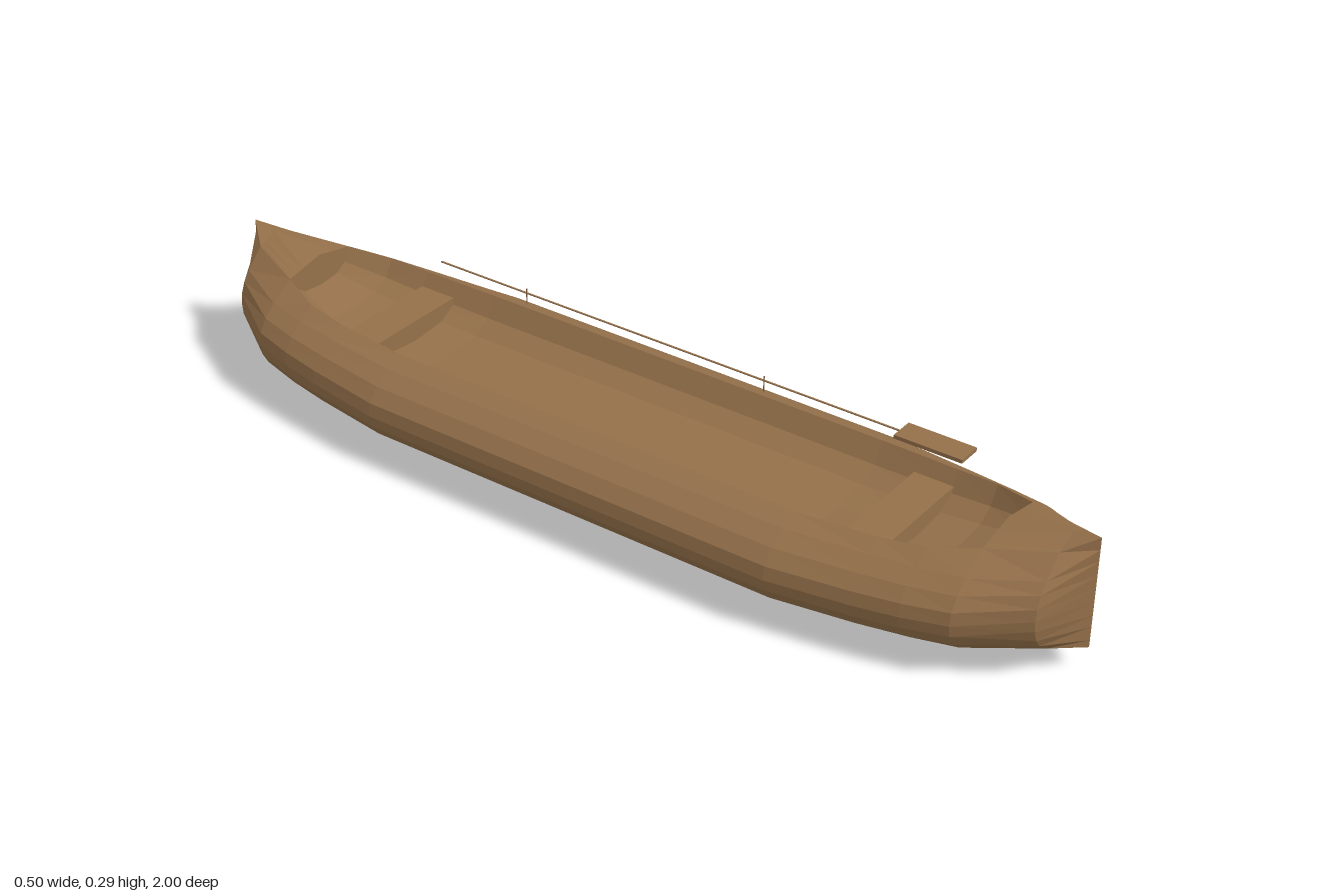
import * as THREE from 'three';

// z, outer half-width, keel and shoulder heights, opening half-width, rim height, inner floor and deck ridge heights
const HALF = [
  { z: 0.47, w: 0.251, keel: 0.001, top: 0.213, o: 0.149, rim: 0.213, floor: 0.142 },
  { z: 0.64, w: 0.228, keel: 0.007, top: 0.217, o: 0.137, rim: 0.22, floor: 0.152 },
  { z: 0.73, w: 0.213, keel: 0.013, top: 0.22, o: 0.125, rim: 0.229, floor: 0.165 },
  { z: 0.82, w: 0.191, keel: 0.021, top: 0.224, o: 0.09, rim: 0.244, floor: 0.192, ridge: 0.262 },
  { z: 0.945, w: 0.113, keel: 0.047, top: 0.236, o: 0.045, rim: 0.262, ridge: 0.28 },
  { z: 1, w: 0, keel: 0.055, top: 0.28, o: 0, rim: 0.29, ridge: 0.29 },
];
const STATIONS = [...HALF.map(s => ({ ...s, z: -s.z })).reverse(), ...HALF];

// Half hull section from keel to shoulder: width fraction, height fraction
const SECTION = [[0, 0], [0.48, 0.07], [0.76, 0.2], [0.9, 0.31], [0.98, 0.44],
  [1, 0.56], [0.98, 0.69], [0.89, 0.82], [0.75, 0.93]];

const mirrored = half => [...half.slice(1).reverse().map(([x, y]) => [-x, y]), ...half];

// Skin a row of cross-sections with flat facets, diagonals mirrored left to right and end to end
function loft(rings) {
  const pos = [];
  for (let i = 0; i < rings.length - 1; i++) {
    const n = rings[i].length - 1;
    for (let j = 0; j < n; j++) {
      const a = rings[i][j], b = rings[i][j + 1], c = rings[i + 1][j], d = rings[i + 1][j + 1];
      const rear = rings[i][0][2] < 0;
      if ((j < n / 2) === rear) pos.push(...a, ...b, ...c, ...b, ...d, ...c);
      else pos.push(...a, ...b, ...d, ...a, ...d, ...c);
    }
  }
  const g = new THREE.BufferGeometry();
  g.setAttribute('position', new THREE.Float32BufferAttribute(pos, 3));
  g.computeVertexNormals();
  return g;
}

const at = (pts, z) => pts.map(([x, y]) => [x, y, z]);

function outerRing(s) {
  const half = SECTION.map(([u, v]) => [u * s.w, s.keel + v * (s.top - s.keel)]);
  half.push([s.o, s.rim]);
  return at(mirrored(half), s.z);
}

function innerRing(s) {
  const depth = s.rim - s.floor;
  const half = [[0, s.floor], [s.o * 0.55, s.floor + depth * 0.1],
    [s.o * 0.83, s.floor + depth * 0.42], [s.o, s.rim]];
  return at(mirrored(half), s.z).reverse();
}

// Deck edge with as many points as the inner section
function deckRing(s) {
  const half = [0, 0.55, 0.83, 1].map(u => [s.o * u, s.ridge + (s.rim - s.ridge) * u]);
  return at(mirrored(half), s.z).reverse();
}

export function createModel() {
  const model = new THREE.Group();
  const wood = new THREE.MeshStandardMaterial({ color: 0x94704a, flatShading: true, side: THREE.DoubleSide });
  wood.name = 'brown wood';

  const add = (name, geometry, x = 0, y = 0, z = 0) => {
    const mesh = new THREE.Mesh(geometry, wood);
    mesh.name = name;
    mesh.position.set(x, y, z);
    model.add(mesh);
  };

  // Hull shell and hollow
  add('hull', loft(STATIONS.map(outerRing)));
  const open = STATIONS.filter(s => s.floor !== undefined);
  add('interior', loft(open.map(innerRing)));

  // Raised end decks and the short walls below their inner edges
  const decked = STATIONS.filter(s => s.ridge !== undefined);
  const stern = decked.slice(0, 3), bow = decked.slice(3);
  add('rearDeck', loft(stern.map(deckRing)));
  add('frontDeck', loft(bow.map(deckRing)));
  add('rearDeckWall', loft([deckRing(stern[2]), innerRing(stern[2])]));
  add('frontDeckWall', loft([innerRing(bow[0]), deckRing(bow[0])]));

  // Bench seats
  for (const side of [-1, 1]) {
    add(side > 0 ? 'frontSeat' : 'rearSeat', new THREE.BoxGeometry(0.24, 0.046, 0.085), 0, 0.169, side * 0.601);
  }

  // Paddle resting along the left rim on two thin pins
  add('paddleBlade', new THREE.BoxGeometry(0.054, 0.008, 0.148), 0.182, 0.226, 0.564);
  add('paddleShaft', new THREE.BoxGeometry(0.004, 0.002, 1.135), 0.18, 0.226, -0.0725);
  for (const z of [-0.41, 0.18]) {
    add('paddlePin', new THREE.BoxGeometry(0.0015, 0.036, 0.002), 0.18, 0.218, z);
  }

  return model;
}
